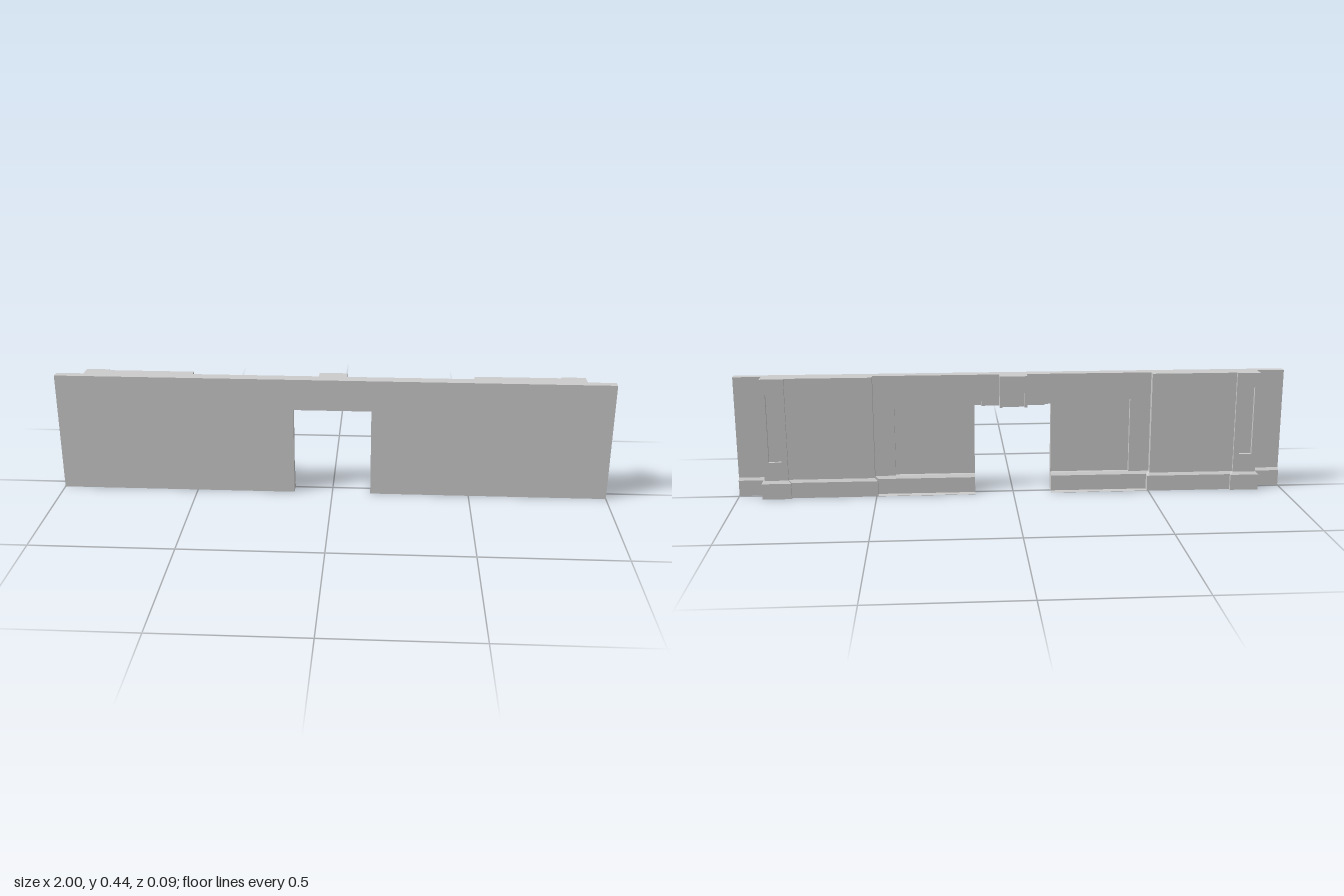
import * as THREE from 'three';

const H = 0.44, FRONT = 0.044, BASE = 0.018, SKIRT = 0.067;
const DOOR_X = 0.14, DOOR_Y = 0.325;
const mat = new THREE.MeshStandardMaterial({ color: 0xcccccc, flatShading: true });

const rect = (x0, y0, x1, y1) => [[x0, y0], [x1, y0], [x1, y1], [x0, y1]];

// Flat outline (with optional holes) extruded from zBack to zFront
function slab(name, points, zBack, zFront, holes = []) {
  const vec = list => list.map(([x, y]) => new THREE.Vector2(x, y));
  const shape = new THREE.Shape(vec(points));
  holes.forEach(h => shape.holes.push(new THREE.Path(vec(h))));
  const geo = new THREE.ExtrudeGeometry(shape, { depth: zFront - zBack, bevelEnabled: false });
  geo.translate(0, 0, zBack);
  const mesh = new THREE.Mesh(geo, mat);
  mesh.name = name;
  return mesh;
}

// Skirting block whose top edge is chamfered at the back and on chosen ends
function skirting(name, x0, x1, zBack, lowX, highX) {
  const c = 0.01;
  const geo = new THREE.BoxGeometry(1, 2, 1, 1, 2, 1);
  const p = geo.attributes.position;
  for (let i = 0; i < p.count; i++) {
    const top = p.getY(i) > 0.5;
    const y = top ? SKIRT : p.getY(i) > -0.5 ? 0.058 : 0;
    const x = p.getX(i) < 0 ? x0 + (top ? c * lowX : 0) : x1 - (top ? c * highX : 0);
    const z = p.getZ(i) > 0 ? BASE : zBack + (top ? c : 0);
    p.setXYZ(i, x, y, z);
  }
  const flat = geo.toNonIndexed();
  flat.computeVertexNormals();
  const mesh = new THREE.Mesh(flat, mat);
  mesh.name = name;
  return mesh;
}

export function createModel() {
  const g = new THREE.Group();
  g.name = 'wallWithDoorway';
  const mirrored = half => [...half, ...half.map(([x, y]) => [-x, y]).reverse()];

  // Plain front sheet with the doorway cut out
  g.add(slab('frontWall',
    mirrored([[DOOR_X, DOOR_Y], [DOOR_X, 0], [1, 0], [1, H]]), BASE, FRONT));

  // Back layer around the doorway, with the sunken panels left open
  g.add(slab('innerWall', mirrored([
    [0.115, DOOR_Y], [0.115, 0.342], [0.43, 0.342], [0.43, 0.03], [0.505, 0.03], [0.505, H],
  ]), 0.002, BASE));

  // Keystone over the doorway, with a notch open at the bottom
  g.add(slab('keystoneBody', rect(-0.05, DOOR_Y, 0.05, H), -0.022, BASE));
  g.add(slab('keystoneFace',
    mirrored([[0.04, 0.378], [0.04, DOOR_Y], [0.05, DOOR_Y], [0.05, H]]), -0.036, -0.022));

  for (const s of [1, -1]) {
    const side = s > 0 ? 'left' : 'right';
    const box = (x0, y0, x1, y1) => rect(Math.min(s * x0, s * x1), y0, Math.max(s * x0, s * x1), y1);

    // Stepped wall surfaces
    g.add(slab(side + 'OuterWall', box(0.505, 0, 0.82, H), -0.024, BASE));
    g.add(slab(side + 'EndWall', box(0.89, 0, 1, H), 0.015, BASE));

    // Pilaster with a sunken upright panel
    g.add(slab(side + 'PilasterCore', box(0.815, 0, 0.9, H), -0.021, BASE));
    g.add(slab(side + 'PilasterFace', box(0.815, 0, 0.9, H), -0.033, -0.021,
      [box(0.836, 0.135, 0.882, 0.385)]));

    // Skirting follows the steps of the wall
    const base = (name, x0, x1, z, inner, outer) => g.add(s > 0
      ? skirting(side + name, x0, x1, z, inner, outer)
      : skirting(side + name, -x1, -x0, z, outer, inner));
    base('InnerSkirting', DOOR_X, 0.51, -0.008, 0, 0);
    base('OuterSkirting', 0.495, 0.82, -0.034, 1, 0);
    base('PilasterSkirting', 0.805, 0.91, -0.044, 1, 1);
    base('EndSkirting', 0.89, 1, 0.005, 0, 0);

    // Thin floor strip in front of the inner skirting
    g.add(slab(side + 'FloorStrip', box(DOOR_X, 0, 0.5, 0.001), -0.034, -0.008));
  }
  return g;
}
